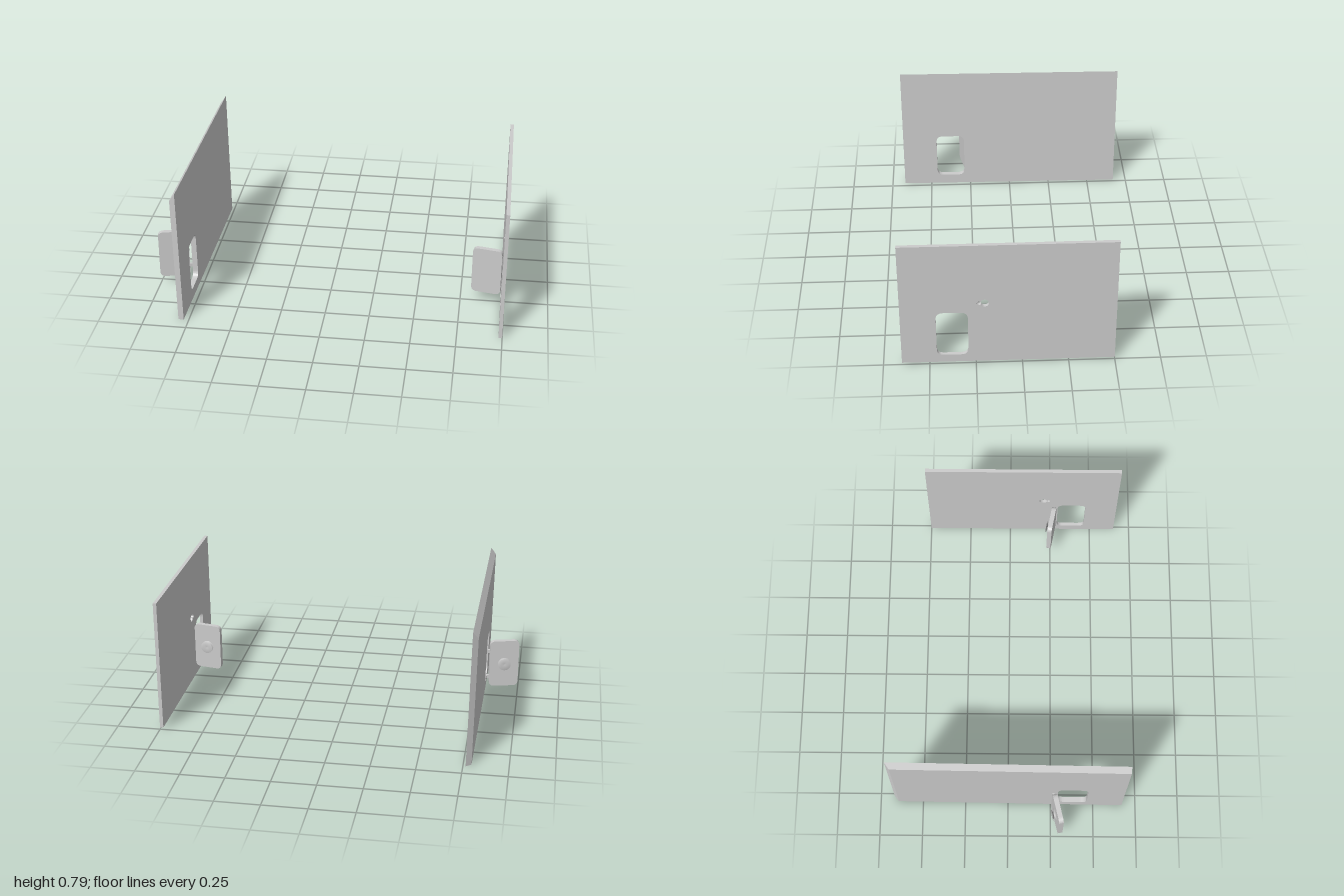
import * as THREE from 'three';

const material = new THREE.MeshStandardMaterial({ color: 0xcccccc, side: THREE.DoubleSide });

// Rounded rectangle outline, used for windows and flaps
function roundedRect(path, x0, y0, x1, y1, r) {
  path.moveTo(x0 + r, y0);
  path.lineTo(x1 - r, y0);
  path.quadraticCurveTo(x1, y0, x1, y0 + r);
  path.lineTo(x1, y1 - r);
  path.quadraticCurveTo(x1, y1, x1 - r, y1);
  path.lineTo(x0 + r, y1);
  path.quadraticCurveTo(x0, y1, x0, y1 - r);
  path.lineTo(x0, y0 + r);
  path.quadraticCurveTo(x0, y0, x0 + r, y0);
  return path;
}

function mesh(name, geometry, parent) {
  const m = new THREE.Mesh(geometry, material);
  m.name = name;
  parent.add(m);
  return m;
}

// Upright panel in the yz plane; the shape's x axis becomes -z
function panelGeometry(zMin, zMax, yMin, yMax, thickness, holes) {
  const shape = new THREE.Shape([[-zMax, yMin], [-zMin, yMin], [-zMin, yMax], [-zMax, yMax]]
    .map(([u, v]) => new THREE.Vector2(u, v)));
  shape.holes.push(...holes);
  return new THREE.ExtrudeGeometry(shape, { depth: thickness, bevelEnabled: false, curveSegments: 8 });
}

// Rounded flap with a dished knob on its back and two hinge tabs
function createFlap(name, width, height, hingeSide) {
  const flap = new THREE.Group();
  flap.name = name;
  const t = 0.027;
  const outline = roundedRect(new THREE.Shape(), -width / 2, -height / 2, width / 2, height / 2, 0.032);
  const board = new THREE.ExtrudeGeometry(outline, { depth: t, bevelEnabled: false, curveSegments: 8 });
  board.translate(0, 0, -t / 2);
  mesh('flapBoard', board, flap);

  const profile = [[0.037, 0], [0.012, 0.009], [0.037, 0.018], [0, 0.012]]
    .map(([r, y]) => new THREE.Vector2(r, y));
  const knob = new THREE.LatheGeometry(profile, 20).rotateX(-Math.PI / 2);
  mesh('knob', knob, flap).position.z = -t / 2;

  for (const y of [-0.085, 0.08]) {
    const tab = mesh('hingeTab', new THREE.BoxGeometry(0.02, 0.02, 0.012), flap);
    tab.position.set(hingeSide * (width / 2 + 0.004), y, -0.004);
  }
  return flap;
}

export function createModel() {
  const model = new THREE.Group();

  // Large panel: slightly leaning, chamfered along its top and rear edges
  const largeHole = roundedRect(new THREE.Path(), -0.46, 0.06, -0.287, 0.345, 0.04);
  const large = panelGeometry(-0.67, 0.67, 0, 0.79, 0.03, [largeHole]);
  const p = large.attributes.position;
  for (let i = 0; i < p.count; i++) {
    let u = p.getX(i), y = p.getY(i);
    const depth = p.getZ(i);
    if (depth < 0.01) {
      u = Math.min(u, 0.645);
      y = Math.min(y, 0.75);
    }
    p.setXYZ(i, u, y, depth - 0.802 + 0.0104 * u - 0.015 * y);
  }
  large.rotateY(Math.PI / 2);
  large.computeVertexNormals();
  mesh('largePanel', large, model);

  // Small panel with a window and a keyhole of two overlapping circles
  const smallHole = roundedRect(new THREE.Path(), -0.46, 0.06, -0.29, 0.345, 0.04);
  const keyhole = new THREE.Path();
  keyhole.absarc(-0.2, 0.405, 0.023, -2.85, 2.85, false);
  keyhole.absarc(-0.23, 0.405, 0.012, 0.6, 2 * Math.PI - 0.6, false);
  keyhole.closePath();
  const small = panelGeometry(-0.5, 0.65, 0.012, 0.777, 0.02, [smallHole, keyhole]);
  small.translate(0, 0, 0.98).rotateY(Math.PI / 2);
  mesh('smallPanel', small, model);

  // Opened flaps beside the windows
  const largeFlap = createFlap('largePanelFlap', 0.174, 0.29, 1);
  largeFlap.position.set(-0.912, 0.203, 0.285);
  largeFlap.rotation.y = 0.225;
  const smallFlap = createFlap('smallPanelFlap', 0.169, 0.28, 1);
  smallFlap.position.set(0.895, 0.204, 0.254);
  smallFlap.rotation.y = -0.19;
  model.add(largeFlap, smallFlap);

  return model;
}
